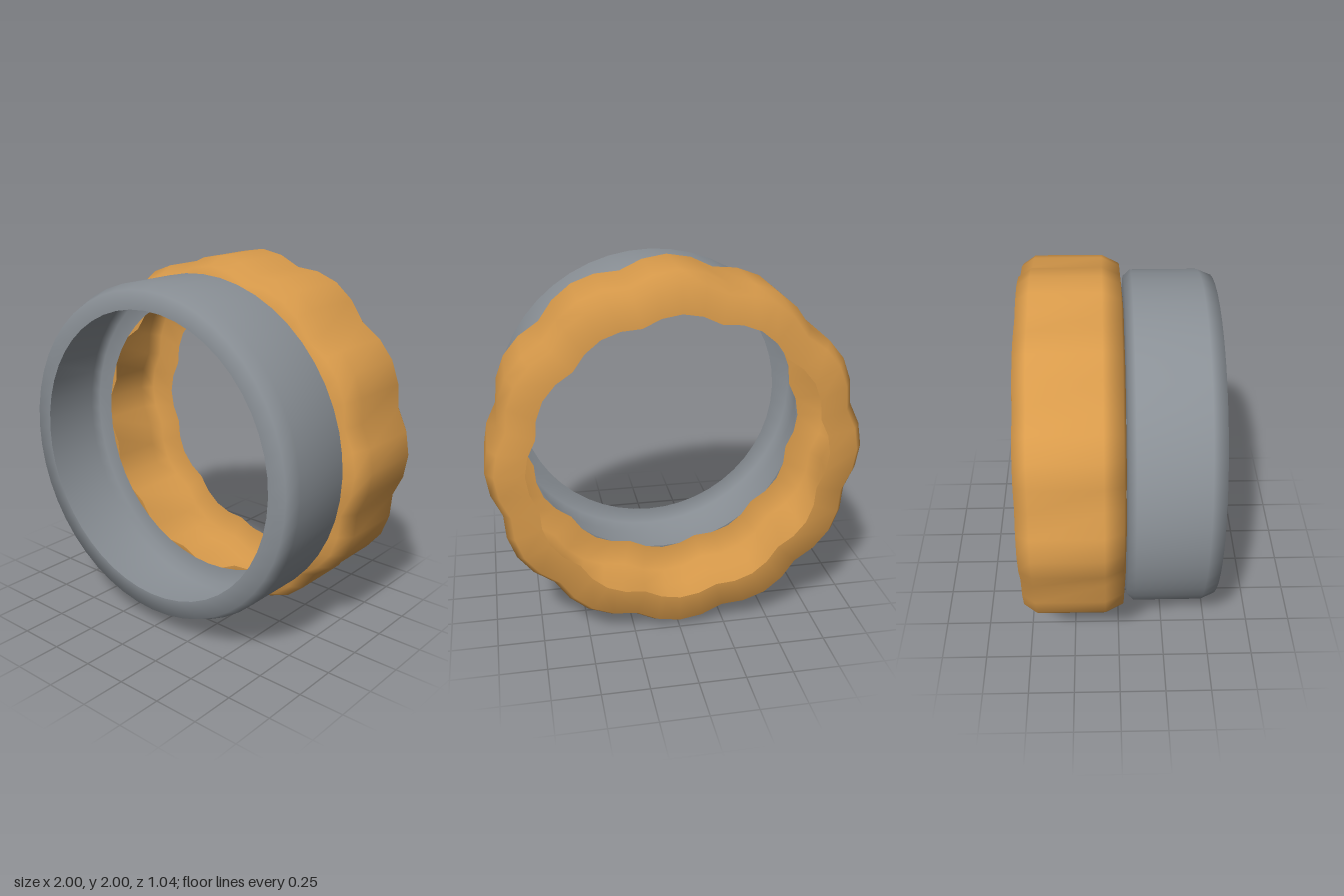
import * as THREE from 'three';
import { mergeVertices } from 'three/addons/utils/BufferGeometryUtils.js';

const SEGMENTS = 48;
const LOBES = 12;

// Open hollow ring around the z axis; profile is [radius, z] from back lip to front lip.
// wave is the depth of the valleys between the lobes (0 gives a plain round ring).
function ringShell(profile, wave) {
  const geo = new THREE.LatheGeometry(profile.map(([r, z]) => new THREE.Vector2(r, z)), SEGMENTS);
  geo.rotateX(Math.PI / 2);
  const pos = geo.attributes.position;
  for (let i = 0; i < pos.count; i++) {
    const angle = Math.atan2(pos.getY(i), pos.getX(i));
    const s = 1 - wave * (1 - Math.abs(Math.cos(angle * LOBES / 2)));
    pos.setXY(i, pos.getX(i) * s, pos.getY(i) * s);
  }
  // weld the seam so the smooth normals run all the way round
  geo.deleteAttribute('uv');
  geo.deleteAttribute('normal');
  const welded = mergeVertices(geo, 1e-4);
  welded.computeVertexNormals();
  return welded;
}

export function createModel() {
  const model = new THREE.Group();
  model.name = 'ringPair';

  const grey = new THREE.MeshStandardMaterial({ color: 0x8a9096, side: THREE.DoubleSide });
  grey.name = 'grey';
  const amber = new THREE.MeshStandardMaterial({ color: 0xd99b4b, side: THREE.DoubleSide });
  amber.name = 'amber';

  // plain round ring at the front
  const roundRing = new THREE.Mesh(ringShell([
    [0.79, 0.035], [0.885, 0.042], [0.92, 0.08],
    [0.92, 0.44], [0.89, 0.513], [0.79, 0.518],
  ], 0), grey);
  roundRing.name = 'roundRing';

  // wider lobed ring at the back
  const lobedRing = new THREE.Mesh(ringShell([
    [0.80, -0.517], [0.955, -0.502], [1.0, -0.435],
    [1.0, -0.075], [0.955, 0.02], [0.80, 0.035],
  ], 0.045), amber);
  lobedRing.name = 'lobedRing';

  for (const ring of [roundRing, lobedRing]) {
    ring.position.y = 1;
    model.add(ring);
  }
  return model;
}
